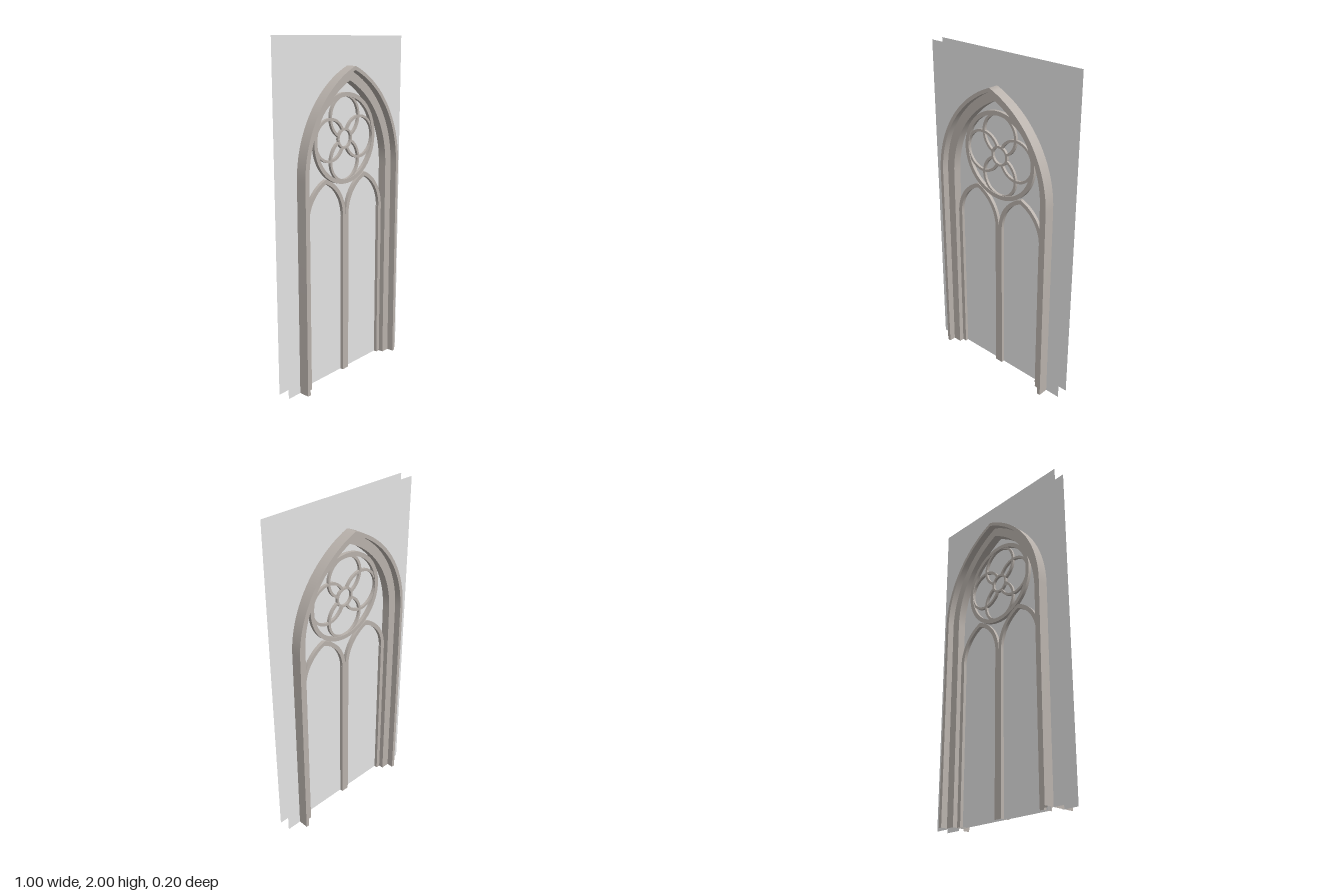
import * as THREE from 'three';
import { toCreasedNormals } from 'three/addons/utils/BufferGeometryUtils.js';

const stone = new THREE.MeshStandardMaterial({ color: 0xb9b2ac });
stone.name = 'warm stone';
const pane = new THREE.MeshStandardMaterial({ color: 0xe4e4e4, side: THREE.DoubleSide });
pane.name = 'pale grey panel';

const MAIN = { offset: 0.23, spring: 1.243, foot: 0 };
const LANCET = { offset: 0.084, spring: 0.98, foot: 0.98 };

// Outline of a two-centred pointed arch, from left foot over the apex to right foot
function archLine(halfWidth, { offset, spring, foot }, steps = 24) {
  const r = halfWidth + offset;
  const apex = Math.acos(offset / r);
  const right = [];
  if (foot < spring) right.push(new THREE.Vector2(halfWidth, foot));
  for (let i = 0; i <= steps; i++) {
    const a = (apex * i) / steps;
    right.push(new THREE.Vector2(r * Math.cos(a) - offset, spring + r * Math.sin(a)));
  }
  const left = right.slice(0, -1).map((p) => new THREE.Vector2(-p.x, p.y));
  return [...left, ...right.reverse()];
}

// Open-ended skin over a closed loop of lines, each given as [points, z]
function skin(name, lines) {
  const pos = [];
  lines.forEach(([a, za], k) => {
    const [b, zb] = lines[(k + 1) % lines.length];
    for (let i = 0; i < a.length - 1; i++) {
      const a0 = [a[i].x, a[i].y, za], a1 = [a[i + 1].x, a[i + 1].y, za];
      const b0 = [b[i].x, b[i].y, zb], b1 = [b[i + 1].x, b[i + 1].y, zb];
      pos.push(...a0, ...b0, ...b1, ...a0, ...b1, ...a1);
    }
  });
  const geo = new THREE.BufferGeometry();
  geo.setAttribute('position', new THREE.Float32BufferAttribute(pos, 3));
  const mesh = new THREE.Mesh(toCreasedNormals(geo, 0.8), stone);
  mesh.name = name;
  return mesh;
}

// Sweep a [halfWidth, z] profile along an arch
function sweepArch(name, profile, arch) {
  return skin(name, profile.map(([w, z]) => [archLine(w, arch), z]));
}

// Upright square post without end faces
function post(name, x0, x1, height, halfDepth) {
  const line = (x) => [new THREE.Vector2(x, 0), new THREE.Vector2(x, height)];
  const d = halfDepth;
  return skin(name, [[line(x0), -d], [line(x0), d], [line(x1), d], [line(x1), -d]]);
}

// Extrude a flat shape symmetrically about z = 0
function slab(name, shape, halfDepth) {
  const geo = new THREE.ExtrudeGeometry(shape, {
    depth: halfDepth * 2, bevelEnabled: false, curveSegments: 64,
  });
  geo.translate(0, 0, -halfDepth);
  const mesh = new THREE.Mesh(toCreasedNormals(geo, 0.5), stone);
  mesh.name = name;
  return mesh;
}

function ring(name, outer, inner, halfDepth) {
  const shape = new THREE.Shape().absarc(0, 0, outer, 0, Math.PI * 2);
  shape.holes.push(new THREE.Path().absarc(0, 0, inner, 0, Math.PI * 2, true));
  return slab(name, shape, halfDepth);
}

function sheet(name, points, z) {
  const mesh = new THREE.Mesh(new THREE.ShapeGeometry(new THREE.Shape(points)), pane);
  mesh.name = name;
  mesh.position.z = z;
  if (z < 0) mesh.rotation.y = Math.PI;
  return mesh;
}

export function createModel() {
  const model = new THREE.Group();
  model.name = 'traceryWindow';

  // Main arch: deep outer fin stepping in to a shallower inner order
  model.add(sweepArch('mainArch', [
    [0.407, -0.101], [0.407, 0.101], [0.386, 0.101], [0.386, 0.06],
    [0.333, 0.06], [0.333, -0.06], [0.386, -0.06], [0.386, -0.101],
  ], MAIN));

  // Mullion, side shafts and the two lancet heads
  model.add(post('mullion', -0.025, 0.025, LANCET.spring, 0.03));
  model.add(post('leftShaft', 0.307, 0.333, LANCET.spring, 0.03));
  model.add(post('rightShaft', -0.333, -0.307, LANCET.spring, 0.03));
  for (const s of [-1, 1]) {
    const lancet = sweepArch('lancetArch', [
      [0.1665, -0.03], [0.1665, 0.03], [0.142, 0.03], [0.142, -0.03],
    ], LANCET);
    lancet.position.x = s * 0.1665;
    model.add(lancet);
  }

  // Rose: outer ring, four overlapping lobes, centre ring
  const rose = new THREE.Group();
  rose.name = 'rose';
  rose.position.y = 1.43;
  rose.add(ring('roseRing', 0.261, 0.236, 0.03));
  rose.add(ring('centreRing', 0.06, 0.047, 0.025));
  const gap = 0.42;
  for (let i = 0; i < 4; i++) {
    // Each lobe is an open arc whose ends stop at the centre ring
    const a0 = Math.PI + gap, a1 = Math.PI * 3 - gap;
    const shape = new THREE.Shape();
    shape.absarc(0, 0, 0.126, a0, a1, false);
    shape.absarc(0, 0, 0.111, a1, a0, true);
    const lobe = slab('lobe', shape, 0.025);
    const a = (i * Math.PI) / 2;
    lobe.rotation.z = a;
    lobe.position.set(0.125 * Math.cos(a), 0.125 * Math.sin(a), 0);
    rose.add(lobe);
  }
  model.add(rose);

  // Wall faces with the arched opening cut out, and glazing inside the opening
  const opening = archLine(0.396, MAIN);
  const corners = [[0.5, 0], [0.5, 2], [-0.5, 2], [-0.5, 0]];
  const wall = [...opening, ...corners.map(([x, y]) => new THREE.Vector2(x, y))];
  const glazing = archLine(0.345, MAIN);
  for (const s of [1, -1]) {
    const side = s > 0 ? 'front' : 'back';
    model.add(sheet(side + 'Wall', wall, s * 0.038));
    model.add(sheet(side + 'Glazing', glazing, s * 0.01));
  }
  return model;
}
